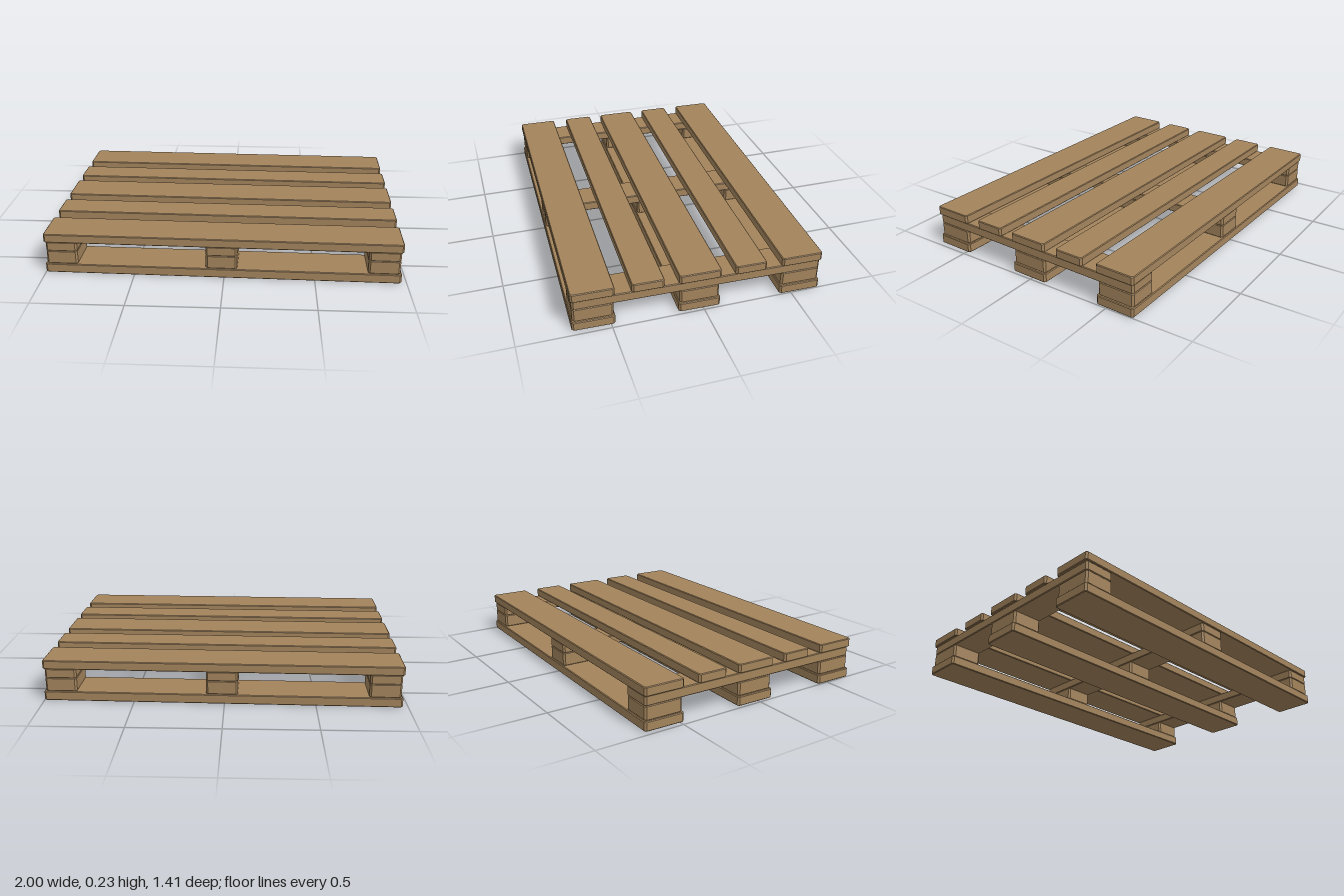
import * as THREE from 'three';

const wood = new THREE.MeshStandardMaterial({ color: 0xa3845c });
wood.name = 'wood';

// Sawn timber with chamfered edges, resting on y = 0 and centred in x and z
function timber(length, height, depth, corner = 0.008, bevel = 0.004) {
  const x = length / 2 - bevel, z = depth / 2 - bevel, c = corner;
  const outline = new THREE.Shape([
    [x - c, -z], [x, -z + c], [x, z - c], [x - c, z],
    [-x + c, z], [-x, z - c], [-x, -z + c], [-x + c, -z],
  ].map(([a, b]) => new THREE.Vector2(a, b)));
  const geometry = new THREE.ExtrudeGeometry(outline, {
    depth: height - 2 * bevel, bevelEnabled: true,
    bevelThickness: bevel, bevelSize: bevel, bevelSegments: 1,
  });
  geometry.translate(0, 0, bevel);
  geometry.rotateX(-Math.PI / 2);
  return geometry;
}

export function createModel() {
  const pallet = new THREE.Group();
  pallet.name = 'pallet';

  const add = (name, geometry, x, y, z) => {
    const mesh = new THREE.Mesh(geometry, wood);
    mesh.name = name;
    mesh.position.set(x, y, z);
    pallet.add(mesh);
  };

  const rows = [-0.571, 0, 0.571];
  const columns = [-0.889, 0, 0.889];
  const length = 1.971;

  const wideTop = timber(length, 0.05, 0.23);
  const narrowTop = timber(length, 0.05, 0.174);
  const bottom = timber(length, 0.053, 0.23);
  const stringer = timber(0.174, 0.053, 1.36);
  const block = timber(0.174, 0.077, 0.218);

  // Deck boards, wide and narrow in turn
  for (const z of rows) add('wideDeckBoard', wideTop, 0, 0.183, z);
  for (const z of [-0.281, 0.281]) add('narrowDeckBoard', narrowTop, 0, 0.183, z);

  // Cross boards under the deck
  for (const x of columns) add('crossBoard', stringer, x, 0.13, 0);

  // Bottom runners with three spacer blocks each
  for (const z of rows) {
    add('bottomBoard', bottom, 0, 0, z);
    for (const x of columns) add('spacerBlock', block, x, 0.053, z);
  }

  // The pallet lies slightly askew
  pallet.rotation.y = -0.0214;
  const model = new THREE.Group();
  model.name = 'woodenPallet';
  model.add(pallet);
  return model;
}
